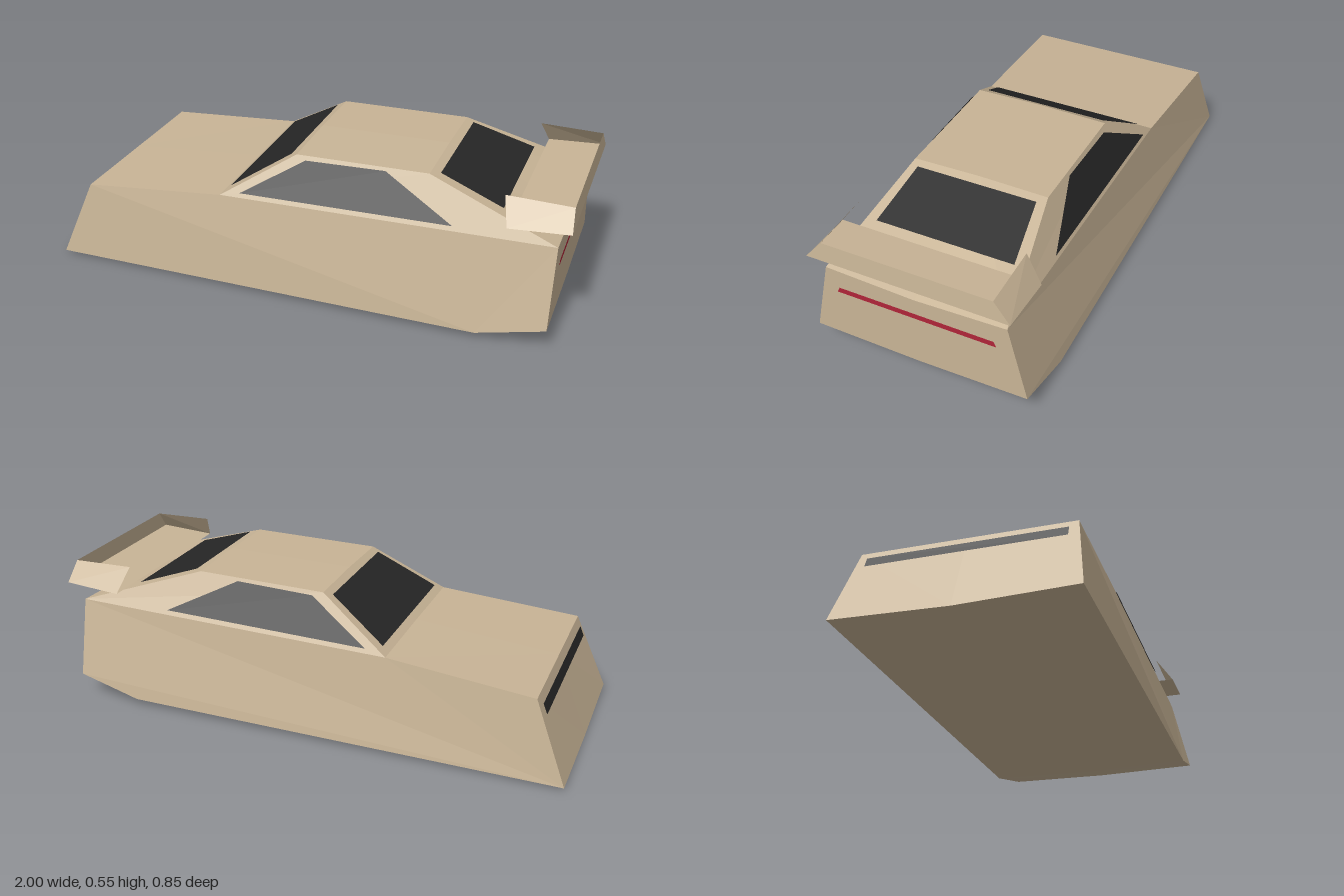
import * as THREE from 'three';

const paint = new THREE.MeshStandardMaterial({ color: 0xc8b496, flatShading: true, side: THREE.DoubleSide });
const glass = new THREE.MeshStandardMaterial({ color: 0x262626, flatShading: true, side: THREE.DoubleSide });
const red = new THREE.MeshStandardMaterial({ color: 0xb02438, flatShading: true, side: THREE.DoubleSide });

const mirror = (face) => face.map(([x, y, z]) => [x, y, -z]).reverse();

// Mesh from convex polygons, each fanned from its first corner
function polyMesh(name, faces, material) {
  const pos = [];
  for (const f of faces)
    for (let i = 1; i < f.length - 1; i++) pos.push(...f[0], ...f[i], ...f[i + 1]);
  const geo = new THREE.BufferGeometry();
  geo.setAttribute('position', new THREE.Float32BufferAttribute(pos, 3));
  geo.computeVertexNormals();
  const mesh = new THREE.Mesh(geo, material);
  mesh.name = name;
  return mesh;
}

// Flat panel lifted slightly off the surface it lies on
function panel(name, pts, material, lift = 0.005) {
  const v = pts.map((p) => new THREE.Vector3(...p));
  const n = v[1].clone().sub(v[0]).cross(v[2].clone().sub(v[0])).normalize();
  return polyMesh(name, [v.map((p) => p.addScaledVector(n, lift).toArray())], material);
}

// Panel symmetric about the centre line: [x, y, half width] at two ends
const crossPanel = (name, a, b, material) =>
  panel(name, [a, b, [b[0], b[1], -b[2]], [a[0], a[1], -a[2]]], material);

export function createModel() {
  const car = new THREE.Group();
  car.name = 'car';

  // Outline around the body: x, edge height, half width, centre-line height
  const outline = [
    [-1, 0.012, 0.425, 0],            // 0 nose bottom
    [-0.875, 0.315, 0.382, 0.315],    // 1 hood front
    [-0.318, 0.364, 0.363, 0.366],    // 2 windshield base
    [-0.04, 0.538, 0.267, 0.543],     // 3 roof front
    [0.468, 0.548, 0.264, 0.553],     // 4 roof rear
    [0.953, 0.39, 0.345, 0.376],      // 5 tail top
    [0.953, 0.09, 0.414, 0.083],      // 6 tail bottom
    [0.7, 0.028, 0.424, 0.018],       // 7 underside bend
  ];
  const edge = outline.map(([x, y, z]) => [x, y, z]);
  const centre = outline.map(([x, , , y]) => [x, y, 0]);

  // Body: strips from edge to centre line, closed by flank and cabin side
  const half = edge.map((e, i) => {
    const j = (i + 1) % edge.length;
    return [e, edge[j], centre[j], centre[i]];
  });
  half.push([7, 6, 5, 2, 1, 0].map((i) => edge[i]));
  half.push([2, 5, 4, 3].map((i) => edge[i]));
  car.add(polyMesh('body', [...half, ...half.map(mirror)], paint));

  // Side windows on the sloping cabin sides
  const cabinZ = (x, y) => 0.363 - 0.0031 * (x + 0.318) - 0.541 * (y - 0.364);
  const side = [[-0.238, 0.381], [0.58, 0.398], [0.307, 0.532], [0, 0.523]]
    .map(([x, y]) => [x, y, cabinZ(x, y)]);
  car.add(panel('leftWindow', side, glass), panel('rightWindow', mirror(side), glass));

  // Windshield, rear window, nose strip and tail light
  car.add(crossPanel('windshield', [-0.29, 0.382, 0.318], [-0.067, 0.522, 0.246], glass));
  car.add(crossPanel('rearWindow', [0.5, 0.539, 0.235], [0.74, 0.459, 0.267], glass));
  car.add(crossPanel('noseStrip', [-0.904, 0.245, 0.353], [-0.888, 0.284, 0.353], glass));
  car.add(crossPanel('tailLight', [0.953, 0.317, 0.296], [0.953, 0.295, 0.306], red));

  // Spoiler: an open tray with a floor, rear wall and inward-leaning end plates
  const fl = [0.778, 0.452, 0.384], rl = [1, 0.467, 0.38];
  const ft = [0.752, 0.544, 0.318], rt = [0.992, 0.54, 0.318];
  const flip = ([x, y, z]) => [x, y, -z];
  const end = [fl, rl, rt, ft];
  car.add(polyMesh('spoiler', [
    [fl, rl, flip(rl), flip(fl)].reverse(),
    [rl, flip(rl), flip(rt), rt],
    end, mirror(end),
  ], paint));

  return car;
}
